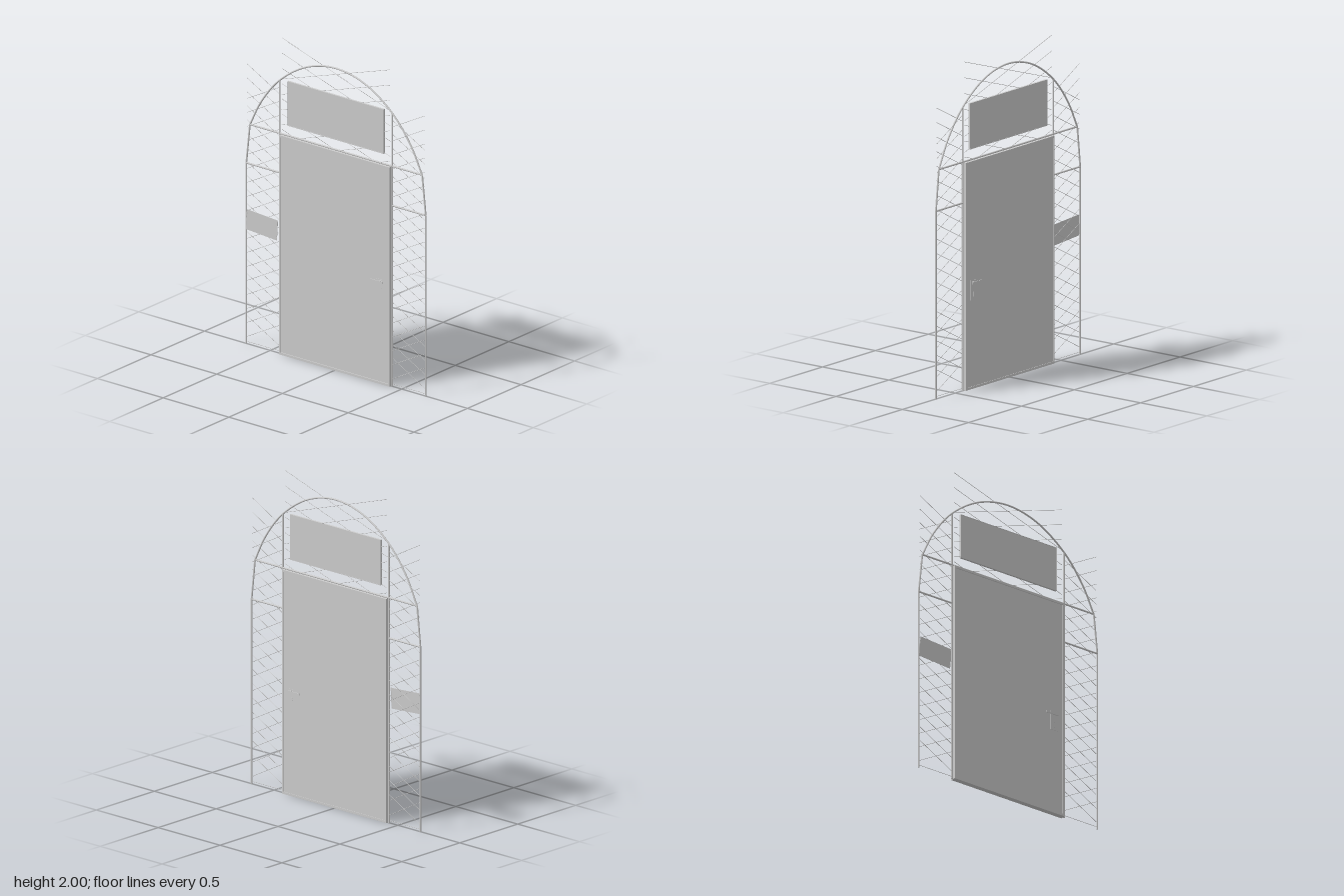
import * as THREE from 'three';

const metal = new THREE.MeshStandardMaterial({ color: 0xcccccc, side: THREE.DoubleSide });
const v = (x, y, z = 0) => new THREE.Vector3(x, y, z);

export function createModel() {
  const model = new THREE.Group();

  const add = (geometry, name, parent = model) => {
    const mesh = new THREE.Mesh(geometry, metal);
    mesh.name = name;
    parent.add(mesh);
    return mesh;
  };
  const box = (name, x0, x1, y0, y1, z0, z1, parent) => {
    const mesh = add(new THREE.BoxGeometry(x1 - x0, y1 - y0, z1 - z0), name, parent);
    mesh.position.set((x0 + x1) / 2, (y0 + y1) / 2, (z0 + z1) / 2);
    return mesh;
  };
  // Round bar between two points
  const rod = (name, a, b, radius, sides, parent) => {
    const dir = b.clone().sub(a);
    const mesh = add(new THREE.CylinderGeometry(radius, radius, dir.length(), sides), name, parent);
    mesh.position.copy(a).add(b).multiplyScalar(0.5);
    mesh.quaternion.setFromUnitVectors(v(0, 1), dir.normalize());
    return mesh;
  };
  const group = (name) => {
    const g = new THREE.Group();
    g.name = name;
    model.add(g);
    return g;
  };

  // Tubular outer frame
  const R = 0.0055;
  const frame = group('tubeFrame');
  for (const s of [-1, 1]) {
    rod('outerPost', v(s * 0.682, 0), v(s * 0.682, 1.145), R, 10, frame);
    rod('shoulderTube', v(s * 0.682, 1.145), v(s * 0.655, 1.39), R, 10, frame);
    rod('innerPost', v(s * 0.428, 0), v(s * 0.428, 1.725), R, 10, frame);
    rod('sideRail', v(s * 0.428, 1.143), v(s * 0.682, 1.143), R, 10, frame);
  }
  rod('lintelRail', v(-0.655, 1.392), v(0.655, 1.392), R, 10, frame);

  // Arch over the top
  const half = [[0.655, 1.39], [0.57, 1.555], [0.43, 1.725], [0.22, 1.861]];
  const archPoints = [
    ...half.map(([x, y]) => v(-x, y)),
    v(0, 1.906),
    ...half.slice().reverse().map(([x, y]) => v(x, y)),
  ];
  add(new THREE.TubeGeometry(new THREE.CatmullRomCurve3(archPoints), 48, R, 10), 'arch', frame);

  // Crossed wires of the side panels, their outer ends left untrimmed
  const W = 0.0015;
  const sideMesh = group('sideWireMesh');
  for (const s of [-1, 1]) {
    for (let y = 1.77; y > 0.13; y -= 0.0885) {
      rod('outwardRisingWire', v(s * 0.675, y, W), v(s * 0.428, y - 0.13, W), W, 5, sideMesh);
      if (y < 1.72) {
        rod('inwardRisingWire', v(s * 0.675, y - 0.13, -W), v(s * 0.428, y, -W), W, 5, sideMesh);
      }
    }
    rod('bottomWire', v(s * 0.682, 0.015), v(s * 0.428, 0.015), W, 5, sideMesh);
  }

  // Shallower crossed wires above the door
  const topMesh = group('topWireMesh');
  for (const s of [-1, 1]) {
    for (let y = 1.998; y > 1.4; y -= 0.0965) {
      // stop each wire at the lintel
      const t = Math.min(1, (y - 1.392) / 0.26);
      rod('crossWire', v(s * 0.412, y, s * W), v(s * (0.412 - 0.824 * t), y - 0.26 * t, s * W), W, 5, topMesh);
    }
  }

  // Door casing with a rectangular opening
  const casing = new THREE.Shape([[-0.42, 0], [0.42, 0], [0.42, 1.386], [-0.42, 1.386]]
    .map(([x, y]) => new THREE.Vector2(x, y)));
  casing.holes.push(new THREE.Path([[-0.408, 0.014], [-0.408, 1.373], [0.408, 1.373], [0.408, 0.014]]
    .map(([x, y]) => new THREE.Vector2(x, y))));
  const casingGeo = new THREE.ExtrudeGeometry(casing, { depth: 0.034, bevelEnabled: false });
  add(casingGeo.translate(0, 0, -0.017), 'doorCasing');
  box('doorLeaf', -0.409, 0.409, 0.013, 1.374, -0.014, 0.011);

  // Lock plate, lever and key cylinder on both faces
  for (const s of [-1, 1]) {
    const face = s > 0 ? 0.011 : -0.014;
    const hardware = group(s > 0 ? 'frontHandle' : 'backHandle');
    const slab = (name, x0, x1, y0, y1, d0, d1) =>
      box(name, x0, x1, y0, y1, Math.min(face + s * d0, face + s * d1), Math.max(face + s * d0, face + s * d1), hardware);
    slab('lockPlate', 0.317, 0.371, 0.54, 0.66, 0, 0.0015);
    slab('leverStem', 0.34, 0.354, 0.64, 0.654, 0, 0.009);
    slab('lever', 0.278, 0.368, 0.638, 0.65, 0.006, 0.01);
    slab('keySlot', 0.344, 0.35, 0.56, 0.592, 0.001, 0.003);
    const cylinder = add(new THREE.CylinderGeometry(0.01, 0.01, 0.004, 16), 'keyCylinder', hardware);
    cylinder.rotation.x = Math.PI / 2;
    cylinder.position.set(0.347, 0.6, face + s * 0.001);
  }

  // Sign board over the door with a thin rim
  box('signBoard', -0.364, 0.366, 1.457, 1.736, -0.005, 0.005);
  for (const y of [1.457, 1.734]) box('signRim', -0.365, 0.367, y - 0.001, y + 0.003, -0.006, 0.007);
  for (const x of [-0.365, 0.364]) box('signRim', x, x + 0.003, 1.456, 1.737, -0.006, 0.007);

  // Small tilted plate tied to the side panel
  const tag = group('sidePlate');
  tag.position.set(-0.56, 0.779, 0.0045);
  tag.rotation.z = -0.065;
  box('plate', -0.118, 0.118, -0.062, 0.066, -0.001, 0.001, tag);
  for (const s of [-1, 1]) {
    const tie = new THREE.QuadraticBezierCurve3(v(s * 0.112, -0.06), v(s * 0.124, 0), v(s * 0.11, 0.066));
    add(new THREE.TubeGeometry(tie, 8, 0.002, 5), 'plateTie', tag);
  }

  return model;
}
